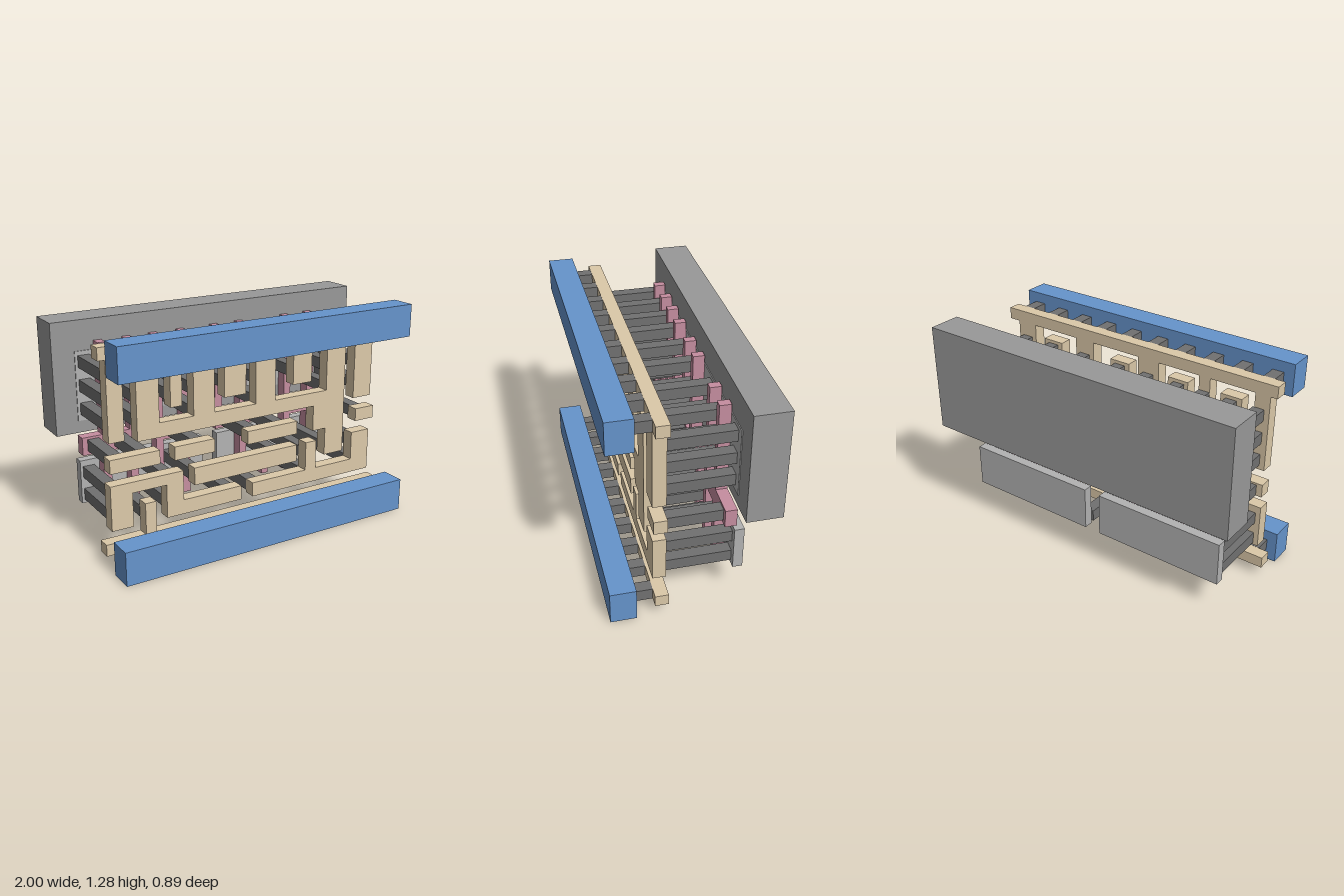
import * as THREE from 'three';

const material = color => new THREE.MeshStandardMaterial({ color });

export function createModel() {
  const model = new THREE.Group();
  const blue = material(0x6694cc), tan = material(0xdcc9a9), pink = material(0xc68ea0);
  const dark = material(0x717171), mid = material(0x999999), light = material(0xb3b3b3);

  const layer = name => {
    const g = new THREE.Group();
    g.name = name;
    model.add(g);
    return g;
  };
  // Box given by its limits on each axis
  const box = (parent, name, mat, x0, x1, y0, y1, z0, z1) => {
    const m = new THREE.Mesh(new THREE.BoxGeometry(x1 - x0, y1 - y0, z1 - z0), mat);
    m.position.set((x0 + x1) / 2, (y0 + y1) / 2, (z0 + z1) / 2);
    m.name = name;
    parent.add(m);
  };
  // Flat plate cut from an outline in x and y
  const plate = (parent, name, mat, points, z0, z1) => {
    const shape = new THREE.Shape(points.map(p => new THREE.Vector2(p[0], p[1])));
    const geo = new THREE.ExtrudeGeometry(shape, { depth: z1 - z0, bevelEnabled: false });
    geo.translate(0, 0, z0);
    const m = new THREE.Mesh(geo, mat);
    m.name = name;
    parent.add(m);
  };

  // Back block with its shallow raised panel, and the two lower slabs
  box(model, 'backBlock', mid, -1, 1, 0.625, 1.268, -0.445, -0.245);
  box(model, 'raisedPanel', light, -0.87, 0.865, 0.695, 1.095, -0.25, -0.24);
  box(model, 'lowerSlabRight', light, -0.875, -0.08, 0.195, 0.455, -0.295, -0.24);
  box(model, 'lowerSlabLeft', light, 0.02, 0.855, 0.195, 0.455, -0.295, -0.24);

  // Pink upright strips joined by pads
  const strips = layer('pinkStrips');
  const pinkZ = [-0.24, -0.175];
  const padY = [0.51, 0.615];
  for (const x of [-0.735, -0.565, -0.4, -0.225, 0.172, 0.498, 0.672])
    box(strips, 'strip', pink, x - 0.024, x + 0.024, 0.145, 1.145, ...pinkZ);
  box(strips, 'shortUpperStrip', pink, -0.025, 0.023, 0.51, 1.145, ...pinkZ);
  box(strips, 'shortLowerStrip', pink, 0.312, 0.36, 0.145, 0.615, ...pinkZ);
  for (const [a, b] of [[-0.88, -0.541], [-0.424, -0.201], [-0.025, 0.36], [0.474, 0.88]])
    box(strips, 'pad', pink, a, b, ...padY, ...pinkZ);

  // Tan bars
  const bars = layer('tanBars');
  const tanZ = [0.13, 0.205];
  // Upper rail with hanging fingers
  const fingers = [[-0.885, -0.795, 0.705], [-0.52, -0.45, 0.84], [-0.185, -0.045, 0.84],
    [0.275, 0.405, 0.84], [0.72, 0.85, 0.685]];
  const comb = [[-0.925, 1.225], [-0.925, 1.155]];
  for (const [a, b, y] of fingers) comb.push([a, 1.155], [a, y], [b, y], [b, 1.155]);
  comb.push([0.92, 1.155], [0.92, 1.225]);
  plate(bars, 'upperRail', tan, comb, ...tanZ);
  // Lower rail with its single pin
  plate(bars, 'lowerRail', tan, [[-0.925, 0.065], [0.92, 0.065], [0.92, 0.132], [-0.622, 0.132],
    [-0.622, 0.32], [-0.687, 0.32], [-0.687, 0.132], [-0.925, 0.132]], ...tanZ);
  // Large comb standing between the fingers
  const largeComb = [[-0.72, 0.685], [0.425, 0.685], [0.425, 0.53], [0.515, 0.53],
    [0.515, 0.36], [0.65, 0.36], [0.65, 1.09], [0.515, 1.09], [0.515, 0.768]];
  for (const x of [0.02, -0.38])
    largeComb.push([x + 0.132, 0.768], [x + 0.132, 1.09], [x, 1.09], [x, 0.768]);
  largeComb.push([-0.588, 0.768], [-0.588, 1.09], [-0.72, 1.09]);
  plate(bars, 'largeComb', tan, largeComb, ...tanZ);
  // Short middle bars
  for (const [a, b] of [[-0.885, -0.59], [-0.5, -0.25], [-0.03, 0.31], [0.745, 0.88]])
    box(bars, 'shortBar', tan, a, b, 0.533, 0.612, ...tanZ);
  // Lower bars
  box(bars, 'longBar', tan, -0.38, 0.31, 0.36, 0.463, ...tanZ);
  plate(bars, 'steppedBar', tan, [[-0.888, 0.203], [-0.76, 0.203], [-0.76, 0.4], [-0.555, 0.4],
    [-0.555, 0.203], [-0.075, 0.203], [-0.075, 0.288], [-0.45, 0.288], [-0.45, 0.463],
    [-0.888, 0.463]], ...tanZ);
  plate(bars, 'forkBar', tan, [[0.003, 0.203], [0.852, 0.203], [0.852, 0.463], [0.72, 0.463],
    [0.72, 0.288], [0.452, 0.288], [0.452, 0.463], [0.377, 0.463], [0.377, 0.288],
    [0.003, 0.288]], ...tanZ);

  // Dark connecting posts between the tan bars and the back layers
  const posts = layer('posts');
  const post = (x, y, z0 = -0.24, z1 = 0.13) =>
    box(posts, 'post', dark, x - 0.034, x + 0.034, y - 0.034, y + 0.034, z0, z1);
  for (const x of [-0.82, -0.655, -0.485, -0.32, -0.115, 0.085, 0.34, 0.582, 0.785]) {
    post(x, 1.037);
    post(x, 0.9);
    if (![-0.485, -0.115, 0.34].includes(x)) post(x, 0.765);
  }
  for (const x of [-0.825, -0.485, 0.415, 0.785]) {
    post(x, 0.385);
    post(x, 0.25);
  }
  for (const x of [-0.32, 0.235, 0.582]) post(x, 0.385);
  for (const x of [-0.655, -0.135, 0.04]) post(x, 0.25);
  for (const x of [-0.815, -0.655, -0.32, 0.04, 0.235, 0.815]) post(x, 0.567, -0.175);

  // Blue front rails with rows of short posts
  box(model, 'lowerFrontRail', blue, -0.925, 0.92, 0, 0.195, 0.305, 0.45);
  box(model, 'upperFrontRail', blue, -0.925, 0.92, 1.095, 1.285, 0.305, 0.45);
  for (let i = 0; i < 10; i++)
    for (const y of [0.099, 1.19]) post(-0.83 + i * 0.184, y, 0.205, 0.305);

  return model;
}
